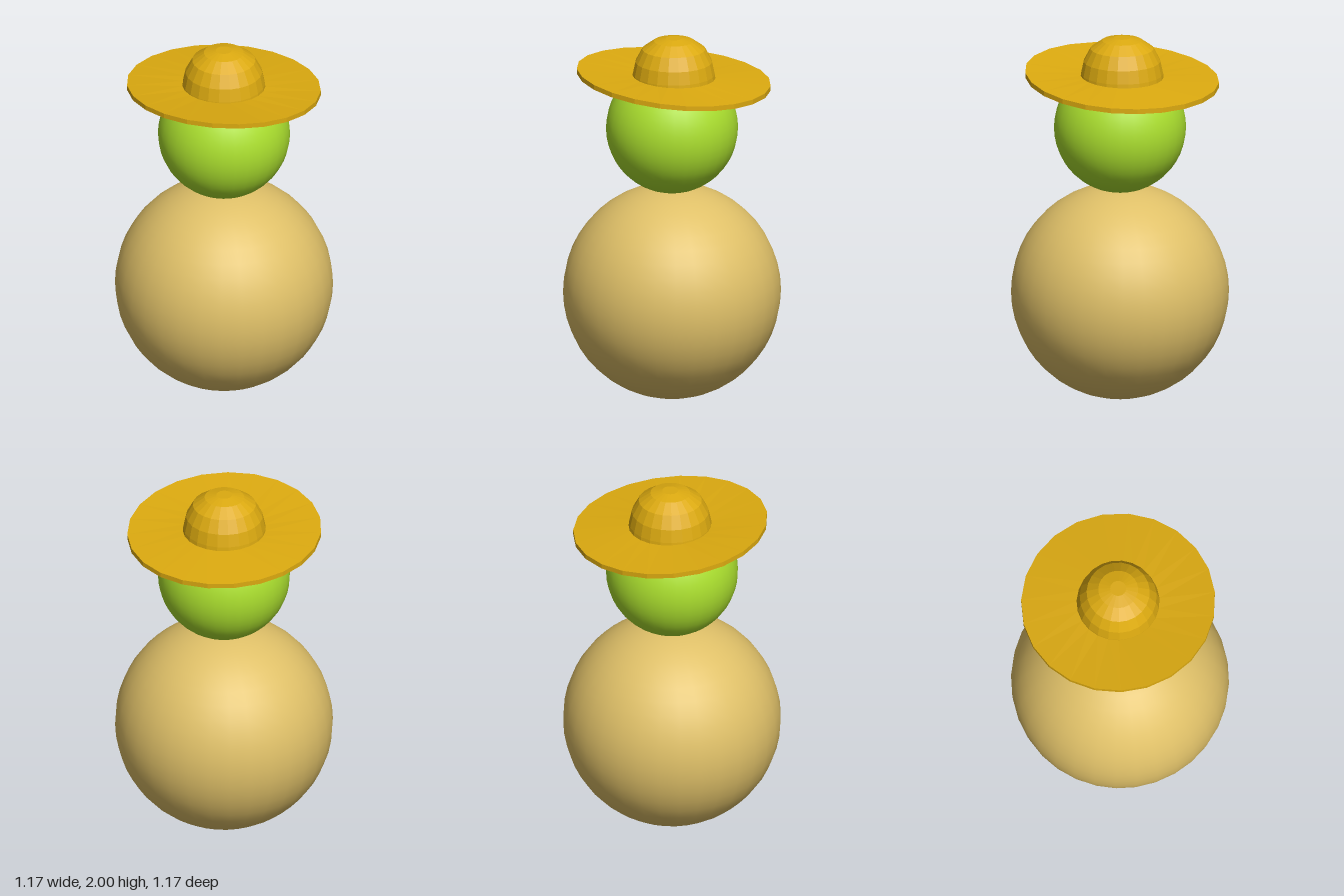
import * as THREE from 'three';

const HAT_SIDES = 23;

function mesh(name, geometry, color, flatShading = false) {
  const m = new THREE.Mesh(geometry, new THREE.MeshStandardMaterial({ color, flatShading }));
  m.name = name;
  return m;
}

function ball(name, radius, y, color) {
  const m = mesh(name, new THREE.SphereGeometry(radius, 32, 24), color);
  m.position.y = y;
  return m;
}

// Faceted turned shape with one corner pointing to the back
function turned(points) {
  const profile = points.map(([r, y]) => new THREE.Vector2(r, y));
  return new THREE.LatheGeometry(profile, HAT_SIDES, Math.PI);
}

export function createModel() {
  const model = new THREE.Group();
  model.name = 'figure';

  model.add(ball('body', 0.586, 0.586, 0xdfc068));
  model.add(ball('head', 0.355, 1.5, 0xaade2e));

  const hat = new THREE.Group();
  hat.name = 'hat';
  hat.position.set(0.005, 0, -0.01);
  const gold = 0xdcaa10;

  // Domed crown with a small flat top
  const crown = turned([[0.225, 1.77], [0.222, 1.8], [0.207, 1.87], [0.17, 1.94], [0.107, 1.985], [0.043, 2], [0, 2]]);
  hat.add(mesh('crown', crown, gold, true));

  // Thin brim, bent so it rises at the front right and droops at the left and back
  const brim = turned([[0, 1.76], [0.22, 1.76], [0.522, 1.76], [0.522, 1.787], [0.22, 1.787], [0, 1.787]]);
  const p = brim.attributes.position;
  for (let i = 0; i < p.count; i++) {
    const x = p.getX(i), z = p.getZ(i);
    const bend = Math.min(1, Math.hypot(x, z) / 0.52);
    p.setY(i, p.getY(i) + bend * (-0.078 * x + 0.045 * z - 0.03 * x * z));
  }
  brim.computeVertexNormals();
  hat.add(mesh('brim', brim, gold, true));

  model.add(hat);
  return model;
}
